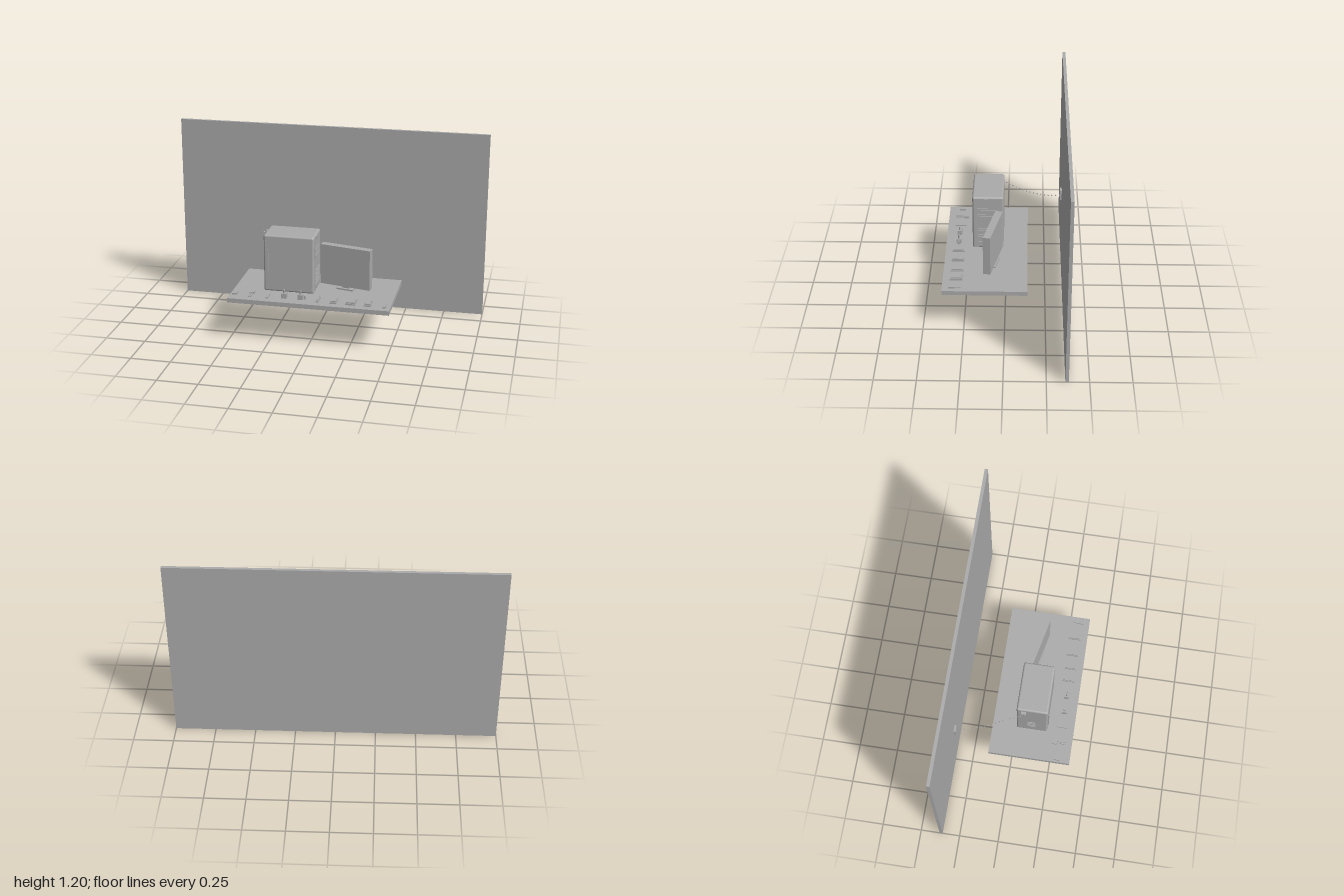
import * as THREE from 'three';
import { RoundedBoxGeometry } from 'three/addons/geometries/RoundedBoxGeometry.js';

const grey = new THREE.MeshStandardMaterial({ color: 0xaaaaaa });
grey.name = 'grey';

export function createModel() {
  const model = new THREE.Group();
  model.name = 'computerDesk';

  const add = (name, geometry, x, y, z, parent = model) => {
    const mesh = new THREE.Mesh(geometry, grey);
    mesh.name = name;
    mesh.position.set(x, y, z);
    parent.add(mesh);
    return mesh;
  };
  // Box given by its minimum and maximum on each axis
  const box = (name, x0, x1, y0, y1, z0, z1, parent) =>
    add(name, new THREE.BoxGeometry(x1 - x0, y1 - y0, z1 - z0),
      (x0 + x1) / 2, (y0 + y1) / 2, (z0 + z1) / 2, parent);

  const top = 0.283; // desk surface

  // Wall, socket and desk
  box('wall', -1, 1, 0, 1.2, -0.38, -0.36);
  box('wallSocket', -0.455, -0.41, 0.397, 0.467, -0.36, -0.348);
  box('deskTop', -0.5, 0.5, 0.255, top, -0.138, 0.38);
  box('underDeskPlate', 0.07, 0.29, 0.252, 0.256, 0, 0.19);

  // Computer tower
  const tower = new THREE.Group();
  tower.name = 'tower';
  model.add(tower);
  add('towerCase', new RoundedBoxGeometry(0.315, 0.365, 0.195, 3, 0.012),
    -0.1525, 0.4655, 0.1125, tower);
  box('sideHandle', -0.287, -0.28, 0.372, 0.555, 0.208, 0.217, tower);
  for (const x of [-0.295, -0.01]) {
    for (const y of [0.31, 0.612]) {
      const screw = add('panelScrew', new THREE.CylinderGeometry(0.004, 0.004, 0.006, 8), x, y, 0.211, tower);
      screw.rotation.x = Math.PI / 2;
    }
  }

  // Fascia on the tower's +x end
  box('powerButton', 0.003, 0.01, 0.619, 0.638, 0.11, 0.135, tower);
  box('statusLight', 0.003, 0.008, 0.591, 0.597, 0.117, 0.129, tower);
  for (const y of [0.555, 0.515]) {
    box('driveBay', 0.003, 0.007, y - 0.014, y + 0.014, 0.045, 0.18, tower);
    box('driveSlot', 0.006, 0.01, y - 0.002, y + 0.002, 0.06, 0.165, tower);
  }
  for (let i = 0; i < 7; i++) {
    const y = 0.325 + i * 0.016;
    box('ventSlat', 0.003, 0.009, y, y + 0.007, 0.05, 0.175, tower);
  }

  // Sockets on the tower's -x end
  box('powerPlug', -0.328, -0.309, 0.603, 0.628, 0.045, 0.075, tower);
  for (let i = 0; i < 4; i++) {
    const y = 0.352 + i * 0.024;
    box('rearPort', -0.315, -0.309, y, y + 0.012, 0.085, 0.135, tower);
  }

  // Beaded power cable
  const cable = new THREE.CatmullRomCurve3([
    new THREE.Vector3(-0.326, 0.61, 0.065),
    new THREE.Vector3(-0.34, 0.563, -0.005),
    new THREE.Vector3(-0.365, 0.505, -0.09),
    new THREE.Vector3(-0.39, 0.457, -0.19),
    new THREE.Vector3(-0.415, 0.429, -0.285),
    new THREE.Vector3(-0.43, 0.421, -0.346),
  ]);
  const bead = new THREE.SphereGeometry(0.0045, 8, 6);
  cable.getSpacedPoints(18).forEach((p) => add('cableBead', bead, p.x, p.y, p.z));

  // Monitor, turned on its foot
  const monitor = new THREE.Group();
  monitor.name = 'monitor';
  monitor.position.set(0.183, 0, 0.077);
  monitor.rotation.y = -0.213;
  model.add(monitor);
  box('screenCase', -0.164, 0.164, 0.304, 0.562, -0.023, 0.023, monitor);
  box('monitorNeck', -0.025, 0.025, 0.29, 0.305, -0.012, 0.012, monitor);
  box('monitorFoot', -0.055, 0.055, top, 0.292, -0.028, 0.028, monitor);

  // Row of connectors along the front of the desk
  const row = new THREE.Group();
  row.name = 'connectorRow';
  model.add(row);
  box('smallConnector', -0.487, -0.457, top, 0.293, 0.275, 0.315, row);
  box('plugHead', -0.385, -0.355, top, 0.295, 0.252, 0.282, row);
  for (const x of [-0.375, -0.364]) {
    box('plugProng', x - 0.003, x + 0.003, 0.285, 0.292, 0.28, 0.338, row);
  }
  box('narrowCard', -0.27, -0.256, top, 0.291, 0.262, 0.335, row);
  for (const x of [-0.16, -0.057]) {
    box('jackBody', x - 0.016, x + 0.016, top, 0.314, 0.286, 0.316, row);
    add('jackStem', new THREE.CylinderGeometry(0.006, 0.006, 0.024, 10), x, 0.325, 0.301, row);
  }
  box('jackClip', -0.035, -0.026, top, 0.308, 0.296, 0.306, row);
  const cards = [[0.045, 0.06], [0.13, 0.17], [0.225, 0.286], [0.34, 0.382]];
  for (const [x0, x1] of cards) {
    box('card', x0, x1, top, 0.292, 0.258, 0.337, row);
    box('cardCover', x0 + 0.004, x1 - 0.004, 0.291, 0.3, 0.264, 0.331, row);
  }
  box('cableEnd', 0.454, 0.472, top, 0.293, 0.3, 0.342, row);
  box('cableTip', 0.461, 0.465, 0.285, 0.29, 0.265, 0.301, row);

  return model;
}
